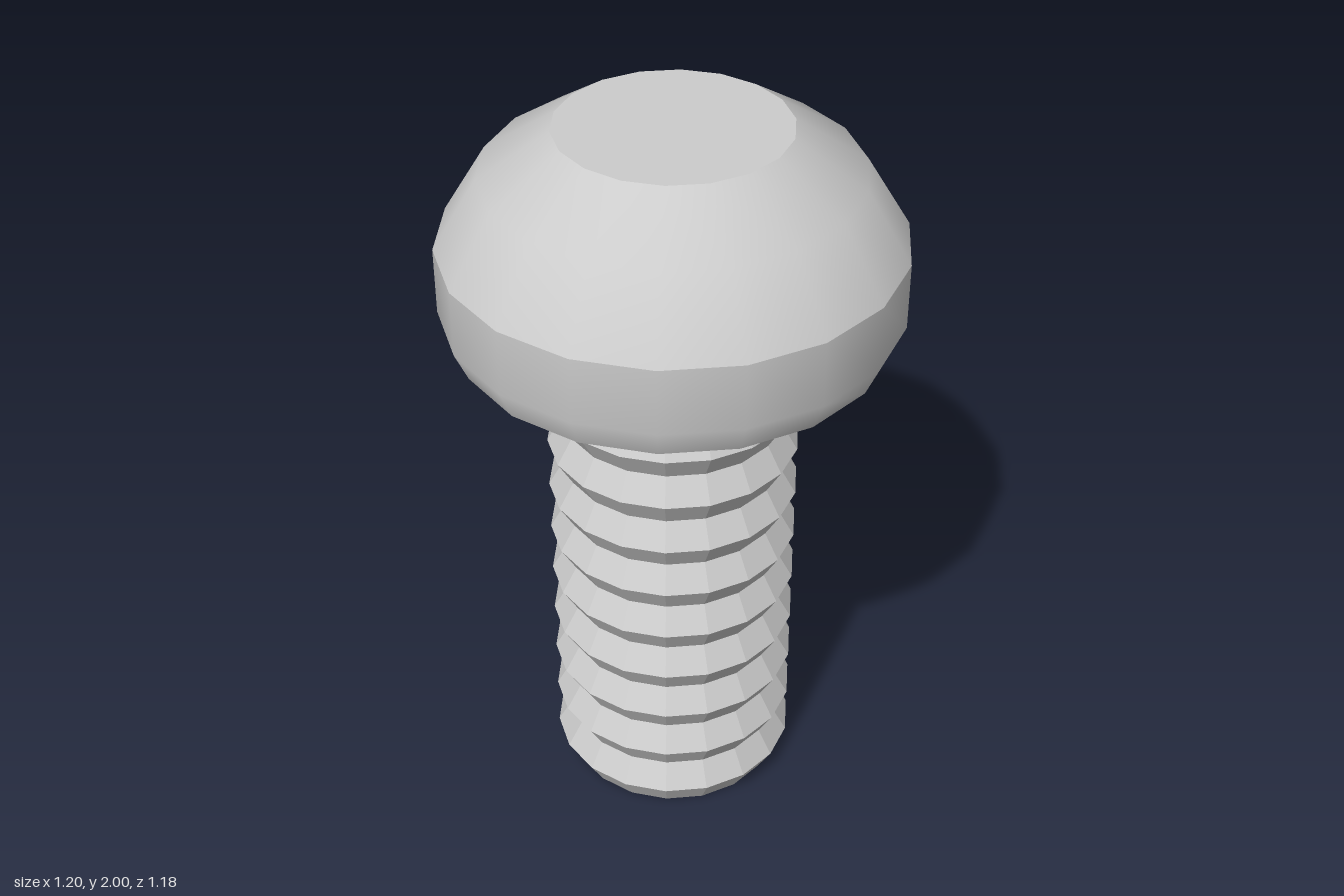
import * as THREE from 'three';

const SIDES = 18;

export function createModel() {
  const model = new THREE.Group();
  const smooth = new THREE.MeshStandardMaterial({ color: 0xcccccc });
  const faceted = new THREE.MeshStandardMaterial({ color: 0xcccccc, flatShading: true });

  // Revolves a [radius, height] profile, with a corner on the x axis
  function turn(name, profile, material = smooth) {
    const points = profile.map(([r, y]) => new THREE.Vector2(r, y));
    const mesh = new THREE.Mesh(new THREE.LatheGeometry(points, SIDES, Math.PI / 2), material);
    mesh.name = name;
    model.add(mesh);
  }

  // Head: separate bands keep the rim edges sharp
  turn('headUnderside', [[0.29, 1.43], [0.565, 1.43]], faceted);
  turn('headRim', [[0.565, 1.43], [0.6, 1.51], [0.6, 1.69]]);
  turn('headDome', [[0.6, 1.69], [0.485, 1.88], [0.3, 2]]);
  turn('headTop', [[0.3, 2], [0, 2]], faceted);

  // Plain neck under the head
  const threadTop = 1.305;
  turn('neck', [[0.295, threadTop], [0.295, 1.43]]);

  // Thread: stacked V-shaped ridges
  const ridges = 9;
  const pitch = threadTop / ridges;
  const thread = [[0.295, 0]];
  for (let i = 0; i < ridges; i++) {
    thread.push([0.337, (i + 0.5) * pitch], [0.295, (i + 1) * pitch]);
  }
  turn('thread', thread, faceted);

  // Flat end of the shank
  turn('shankEnd', [[0, 0], [0.295, 0]], faceted);

  return model;
}
